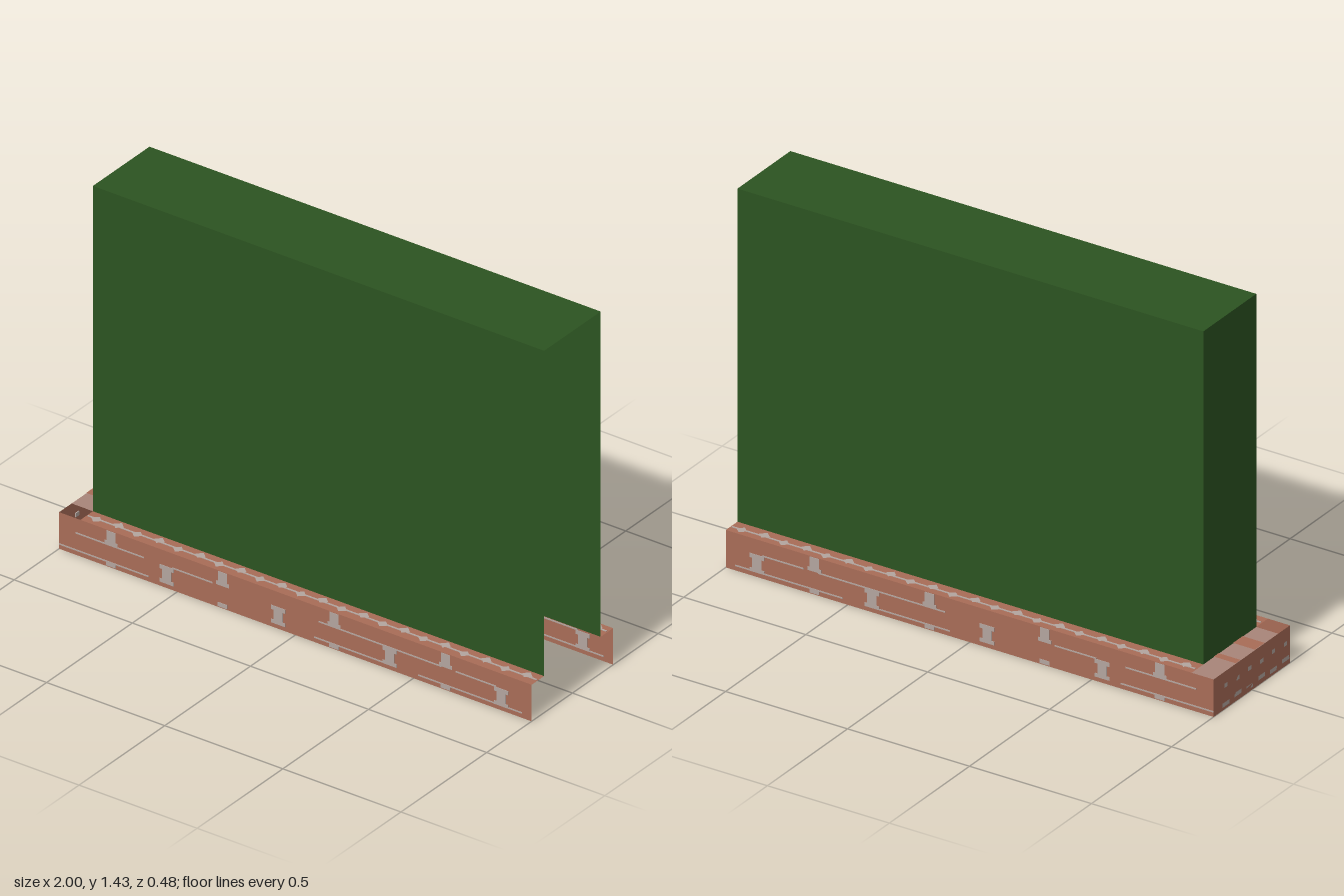
import * as THREE from 'three';

export function createModel() {
  const model = new THREE.Group();
  const material = (name, color) => {
    const m = new THREE.MeshStandardMaterial({ color, side: THREE.DoubleSide });
    m.name = name;
    return m;
  };
  const leaf = material('hedge green', 0x2c5421);
  const brick = material('brick', 0xa86c57);
  const mortar = material('mortar', 0xb3a59f);
  const dusty = material('dusty brick', 0xa88579);

  const add = (parent, name, geometry, mat, x, y, z) => {
    const mesh = new THREE.Mesh(geometry, mat);
    mesh.name = name;
    mesh.position.set(x, y, z);
    parent.add(mesh);
    return mesh;
  };
  // Open sheets facing along z, x or y, given by their bounds
  const sheetZ = (p, n, m, x0, x1, y0, y1, z) =>
    add(p, n, new THREE.PlaneGeometry(x1 - x0, y1 - y0), m, (x0 + x1) / 2, (y0 + y1) / 2, z);
  const sheetX = (p, n, m, z0, z1, y0, y1, x) =>
    add(p, n, new THREE.PlaneGeometry(z1 - z0, y1 - y0).rotateY(-Math.PI / 2), m, x, (y0 + y1) / 2, (z0 + z1) / 2);
  const sheetY = (p, n, m, x0, x1, z0, z1, y) =>
    add(p, n, new THREE.PlaneGeometry(x1 - x0, z1 - z0).rotateX(-Math.PI / 2), m, (x0 + x1) / 2, y, (z0 + z1) / 2);

  const H = 0.145, TOP = 1.435, END = -0.91, HZ = 0.165, BZ = 0.238;

  // Hedge: hollow shell, open below and at the +x end
  const hedge = new THREE.Group();
  hedge.name = 'hedge';
  model.add(hedge);
  for (const s of [-1, 1]) sheetZ(hedge, 'hedgeSide', leaf, END, 1, H, TOP, s * HZ);
  sheetX(hedge, 'hedgeEnd', leaf, -HZ, HZ, H, TOP, END);
  sheetY(hedge, 'hedgeTop', leaf, END, 1, -HZ, HZ, TOP);

  // Brick kerb: long walls, end wall, top ledges and end floor
  const kerb = new THREE.Group();
  kerb.name = 'kerb';
  model.add(kerb);
  for (const s of [-1, 1]) {
    sheetZ(kerb, 'kerbSide', brick, -1, 1, 0, H, s * BZ);
    sheetY(kerb, 'kerbLedge', brick, END, 1, Math.min(s * HZ, s * BZ), Math.max(s * HZ, s * BZ), H);
  }
  sheetX(kerb, 'kerbEnd', brick, -BZ, BZ, 0, H, -1);
  sheetY(kerb, 'kerbEndFloor', brick, -1, END, -BZ, BZ, 0);
  sheetY(kerb, 'kerbEndLedge', dusty, -1, END, -BZ, HZ, H);
  for (const [z0, z1] of [[-0.1, -0.07], [0.02, 0.08]])
    sheetY(kerb, 'ledgeBrick', brick, -1, END, z0, z1, H + 0.002);

  // Mortar joints, showing on both faces of the long walls
  const joints = new THREE.Group();
  joints.name = 'mortarJoints';
  model.add(joints);
  const plate = (name, w, h, d, x, y, z) =>
    add(joints, name, new THREE.BoxGeometry(w, h, d), mortar, x, y, z);
  for (const s of [-1, 1]) {
    const z = s * BZ;
    for (let i = 0; i < 8; i++) {
      const x = -0.78 + i * 0.236;
      if (i % 2 === 0) {
        plate('upperJoint', 0.038, 0.05, 0.004, x, 0.118, z);
        plate('upperJointFoot', 0.055, 0.014, 0.004, x, 0.096, z);
        plate('lowerSpot', 0.04, 0.016, 0.004, x, 0.012, z);
      } else {
        plate('lowerJoint', 0.038, 0.064, 0.004, x, 0.052, z);
        plate('lowerJointHead', 0.06, 0.016, 0.004, x, 0.078, z);
        plate('lowerJointFoot', 0.06, 0.014, 0.004, x, 0.024, z);
      }
    }
    // Broken bed joints
    for (const [x0, x1, y] of [[-0.93, -0.64, 0.088], [-0.52, -0.35, 0.088], [0.1, 0.62, 0.088],
      [0.68, 0.85, 0.088], [-1, -0.62, 0.02], [0.08, 0.4, 0.02], [0.52, 0.96, 0.02]])
      plate('bedJoint', x1 - x0, 0.005, 0.004, (x0 + x1) / 2, y, z);

    // Ledge joint line with small diamonds
    const lz = s * 0.204 - 0.003;
    plate('ledgeJoint', 1.9, 0.004, 0.007, 0.045, H, lz);
    for (let i = 0; i < 22; i++) {
      const shape = new THREE.CircleGeometry(1, 4).rotateX(-Math.PI / 2).scale(0.022, 1, 0.02);
      add(joints, 'ledgeSpot', shape, mortar, -0.865 + i * 0.0865, H + 0.003, lz + (i % 2 ? -0.005 : 0.005));
    }
  }
  // Spots on the end wall
  for (let i = 0; i < 6; i++) {
    const z = 0.21 - i * 0.074;
    plate('endUpperSpot', 0.004, 0.016, 0.02, -0.998, i % 2 ? 0.09 : 0.085, z);
    plate('endLowerSpot', 0.004, 0.016, 0.042, -0.998, i % 2 ? 0.018 : 0.026, z);
  }
  return model;
}
